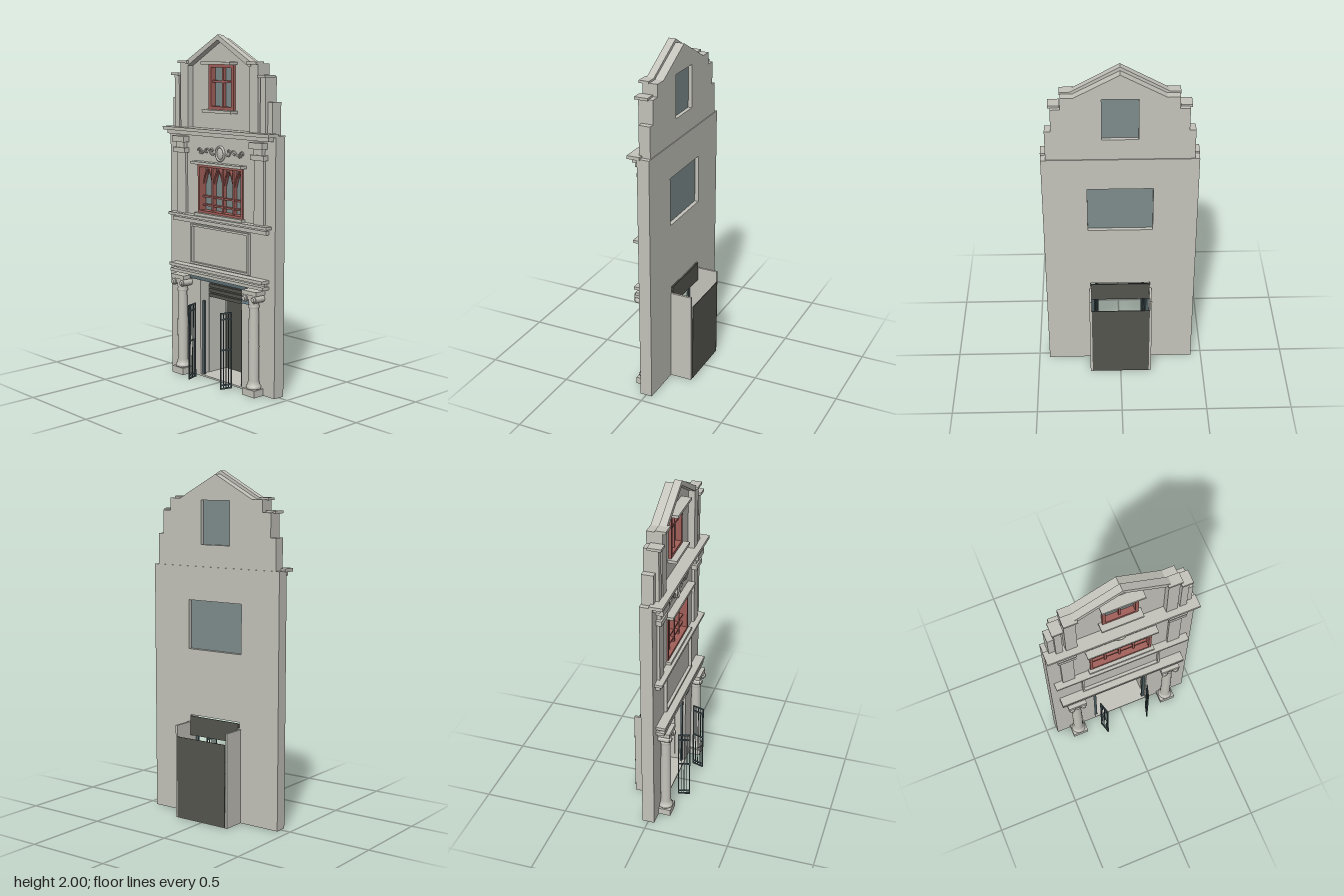
import * as THREE from 'three';

const mat = (name, color, side = THREE.FrontSide) => {
  const m = new THREE.MeshStandardMaterial({ color, side });
  m.name = name;
  return m;
};

export function createModel() {
  const root = new THREE.Group();
  root.name = 'townhouseFacade';
  const stone = mat('stone', 0xc4c3bb);
  const glass = mat('glass', 0x7e8d8c);
  const red = mat('redFrame', 0xa25f59);
  const dark = mat('darkMetal', 0x55554f);
  const iron = mat('gateIron', 0x4b5c61);
  const teal = mat('lintelBlue', 0x5c7075);
  const plate = mat('plateBlue', 0x708a95);

  const add = (name, geo, m, parent = root) => {
    const mesh = new THREE.Mesh(geo, m);
    mesh.name = name;
    parent.add(mesh);
    return mesh;
  };
  // box given by its extents
  const box = (name, m, x0, x1, y0, y1, z0, z1, parent = root) => {
    const b = add(name, new THREE.BoxGeometry(x1 - x0, y1 - y0, z1 - z0), m, parent);
    b.position.set((x0 + x1) / 2, (y0 + y1) / 2, (z0 + z1) / 2);
    return b;
  };
  // the same box on both sides
  const pair = (name, m, x0, x1, ...r) => {
    box(name + 'Left', m, x0, x1, ...r);
    box(name + 'Right', m, -x1, -x0, ...r);
  };
  const poly = (pts) => pts.map(([x, y]) => new THREE.Vector2(x, y));
  const rect = (x, y0, y1) => new THREE.Path(poly([[-x, y0], [-x, y1], [x, y1], [x, y0]]));
  const slab = (name, m, pts, holes, z0, z1) => {
    const s = new THREE.Shape(poly(pts));
    s.holes = holes;
    const e = add(name, new THREE.ExtrudeGeometry(s, { depth: z1 - z0, bevelEnabled: false }), m);
    e.position.z = z0;
    return e;
  };
  // straight flat bar between two points of a window
  const bar = (name, m, x0, y0, x1, y1, w, z0, z1) => {
    const b = add(name, new THREE.BoxGeometry(Math.hypot(x1 - x0, y1 - y0), w, z1 - z0), m);
    b.position.set((x0 + x1) / 2, (y0 + y1) / 2, (z0 + z1) / 2);
    b.rotation.z = Math.atan2(y1 - y0, x1 - x0);
  };
  const frame = (name, m, x, y0, y1, w, z0, z1) =>
    slab(name, m, [[-x, y0], [x, y0], [x, y1], [-x, y1]], [rect(x - w, y0 + w, y1 - w)], z0, z1);

  // main wall with doorway and window opening
  slab('mainWall', stone,
    [[-0.437, 0], [-0.175, 0], [-0.175, 0.59], [0.175, 0.59], [0.175, 0], [0.437, 0], [0.437, 1.46], [-0.437, 1.46]],
    [rect(0.185, 0.98, 1.265)], -0.035, 0.037);

  // stepped gable
  const half = [[0.41, 1.46], [0.41, 1.64], [0.375, 1.64], [0.375, 1.775], [0.32, 1.775], [0.32, 1.845], [0.25, 1.845]];
  slab('gable', stone, [...half, [0, 1.98], ...half.map(([x, y]) => [-x, y]).reverse()],
    [rect(0.1, 1.585, 1.835)], -0.03, 0.02);
  slab('gableCoping', stone,
    [[-0.267, 1.853], [-0.267, 1.828], [-0.25, 1.828], [0, 1.972], [0.25, 1.828], [0.267, 1.828], [0.267, 1.853], [0, 2]],
    [], 0.02, 0.062);
  pair('gableStep', stone, 0.375, 0.41, 1.46, 1.64, 0.015, 0.037);
  pair('outerGablePilaster', stone, 0.335, 0.375, 1.46, 1.772, 0.015, 0.055);
  pair('outerGableCap', stone, 0.325, 0.388, 1.77, 1.785, -0.005, 0.072);
  pair('innerGablePilaster', stone, 0.255, 0.32, 1.46, 1.842, 0.015, 0.058);
  pair('innerGableCap', stone, 0.245, 0.325, 1.84, 1.855, 0.018, 0.077);

  // cornices and ledges
  [['topCornice', 0.44, 1.453, 1.472, 0.02, 0.095], ['topCorniceStep', 0.42, 1.43, 1.453, 0.03, 0.075],
    ['ledge', 0.41, 0.95, 0.966, 0.03, 0.082], ['ledgeStep', 0.39, 0.918, 0.94, 0.03, 0.062],
    ['doorCornice', 0.39, 0.647, 0.665, 0.03, 0.092], ['doorCorniceBand', 0.375, 0.63, 0.647, 0.03, 0.055],
    ['doorCorniceStep', 0.39, 0.612, 0.63, 0.03, 0.085],
    ['upperLintel', 0.12, 1.836, 1.852, 0.01, 0.08], ['upperSill', 0.12, 1.565, 1.582, 0.01, 0.072],
    ['lowerLintel', 0.21, 1.266, 1.282, 0.03, 0.082], ['lowerSill', 0.2, 0.966, 0.982, 0.03, 0.065],
  ].forEach(([n, x, y0, y1, z0, z1]) => box(n, stone, -x, x, y0, y1, z0, z1));
  box('doorLintel', teal, -0.235, 0.235, 0.588, 0.606, 0.03, 0.065);
  frame('panelMoulding', stone, 0.245, 0.672, 0.908, 0.012, 0.03, 0.055);

  // second storey pilasters
  pair('pilaster', stone, 0.285, 0.36, 0.966, 1.33, 0.03, 0.052);
  pair('capitalLower', stone, 0.272, 0.377, 1.323, 1.352, 0.03, 0.07);
  pair('capitalNeck', stone, 0.29, 0.357, 1.35, 1.39, 0.03, 0.06);
  pair('capitalUpper', stone, 0.27, 0.375, 1.385, 1.42, 0.03, 0.08);

  // gable window
  box('upperGlass', glass, -0.1, 0.1, 1.585, 1.835, -0.008, 0);
  frame('upperWindowFrame', red, 0.102, 1.582, 1.836, 0.018, 0, 0.035);
  box('upperMullion', red, -0.006, 0.006, 1.595, 1.825, 0, 0.022);
  box('upperTransom', red, -0.09, 0.09, 1.734, 1.746, 0, 0.02);

  // arched window
  box('lowerGlass', glass, -0.185, 0.185, 0.98, 1.265, -0.012, -0.004);
  frame('lowerWindowFrame', red, 0.187, 0.98, 1.265, 0.016, -0.004, 0.045);
  for (const y of [1.025, 1.075]) box('lowerTransom', red, -0.175, 0.175, y - 0.005, y + 0.005, -0.004, 0.018);
  for (const x of [-0.087, 0, 0.087]) box('lowerMullion', red, x - 0.006, x + 0.006, 0.99, 1.255, -0.004, 0.022);
  for (const c of [-0.13, -0.0435, 0.0435, 0.13]) for (const s of [-1, 1]) {
    bar('pointedArch', red, c + s * 0.04, 1.15, c + s * 0.024, 1.2, 0.008, -0.004, 0.016);
    bar('pointedArch', red, c + s * 0.025, 1.198, c, 1.248, 0.008, -0.004, 0.016);
  }

  // medallion and scrollwork
  const ring = add('medallionRing', new THREE.TorusGeometry(0.033, 0.006, 8, 28), stone);
  ring.scale.set(1, 1.18, 1.6);
  ring.position.set(0, 1.335, 0.04);
  const boss = add('medallion', new THREE.SphereGeometry(0.03, 20, 12), stone);
  boss.scale.set(1, 1.18, 0.35);
  boss.position.set(0, 1.335, 0.037);
  const scrolls = [
    [[0.045, 1.335], [0.06, 1.325], [0.075, 1.33], [0.09, 1.348], [0.108, 1.357], [0.122, 1.348], [0.118, 1.335], [0.107, 1.34]],
    [[0.09, 1.348], [0.074, 1.36], [0.062, 1.352], [0.068, 1.343]],
    [[0.118, 1.356], [0.135, 1.34], [0.155, 1.326], [0.172, 1.331], [0.172, 1.346], [0.16, 1.345]],
    [[0.15, 1.33], [0.165, 1.352], [0.182, 1.356], [0.19, 1.345], [0.183, 1.338]],
  ];
  for (const s of [-1, 1]) scrolls.forEach((p) => {
    const curve = new THREE.CatmullRomCurve3(p.map(([x, y]) => new THREE.Vector3(s * x, y, 0.041)));
    add('scroll', new THREE.TubeGeometry(curve, 24, 0.0045, 6), stone);
  });

  // columns beside the door
  const shaft = poly([[0, 0.04], [0.041, 0.04], [0.043, 0.048], [0.04, 0.058], [0.034, 0.063], [0.033, 0.075],
    [0.03, 0.085], [0.031, 0.28], [0.027, 0.5], [0.031, 0.505], [0.031, 0.515], [0.028, 0.52], [0.034, 0.57], [0, 0.57]]);
  for (const s of [-1, 1]) {
    const col = new THREE.Group();
    col.name = s > 0 ? 'columnLeft' : 'columnRight';
    col.position.set(s * 0.303, 0, 0.066);
    root.add(col);
    box('plinth', stone, -0.048, 0.048, 0, 0.04, -0.04, 0.042, col);
    add('shaft', new THREE.LatheGeometry(shaft, 24), stone, col);
    box('abacus', stone, -0.057, 0.057, 0.578, 0.602, -0.04, 0.04, col);
    box('capitalBlock', stone, -0.042, 0.042, 0.552, 0.58, -0.035, 0.034, col);
    for (const v of [-1, 1]) {
      const vol = add('volute', new THREE.CylinderGeometry(0.021, 0.021, 0.07, 18), stone, col);
      vol.rotation.x = Math.PI / 2;
      vol.position.set(v * 0.036, 0.557, 0.004);
      const eye = add('voluteEye', new THREE.CylinderGeometry(0.012, 0.016, 0.01, 16), stone, col);
      eye.rotation.x = Math.PI / 2;
      eye.position.set(v * 0.036, 0.557, 0.043);
    }
  }

  // entrance recess, open at the top
  pair('recessWall', stone, 0.171, 0.184, 0, 0.55, -0.165, -0.03);
  box('recessFloor', stone, -0.175, 0.175, 0, 0.01, -0.165, 0.037);
  box('recessBack', dark, -0.171, 0.171, 0.005, 0.485, -0.17, -0.166);
  // roller shutter
  box('shutter', dark, -0.172, 0.172, 0.47, 0.585, -0.043, -0.038);
  for (let i = 0; i < 4; i++) box('shutterSlat', dark, -0.172, 0.172, 0.472 + i * 0.029, 0.492 + i * 0.029, -0.038, -0.028);

  // open gate leaves
  for (const s of [-1, 1]) {
    const gate = new THREE.Group();
    gate.name = s > 0 ? 'gateLeft' : 'gateRight';
    gate.position.set(s * 0.155, 0, 0.095);
    gate.rotation.y = -s * Math.atan2(0.02, 0.07);
    root.add(gate);
    for (let i = 0; i < 5; i++) {
      const z = 0.003 + i * 0.0165, w = i % 4 ? 0.002 : 0.0035;
      box('gateBar', iron, -w, w, 0.012, 0.456, z - w, z + w, gate);
    }
    for (const y of [0.016, 0.036, 0.24, 0.418, 0.452]) box('gateRail', iron, -0.003, 0.003, y - 0.004, y + 0.004, 0, 0.072, gate);
    // fixed jamb in the doorway
    box('doorJamb', iron, s * 0.165 - 0.009, s * 0.165 + 0.009, 0.01, 0.455, 0.012, 0.024);
  }

  // blank wall plate
  box('wallPlate', plate, 0.18, 0.238, 0.503, 0.547, 0.037, 0.044);
  return root;
}
